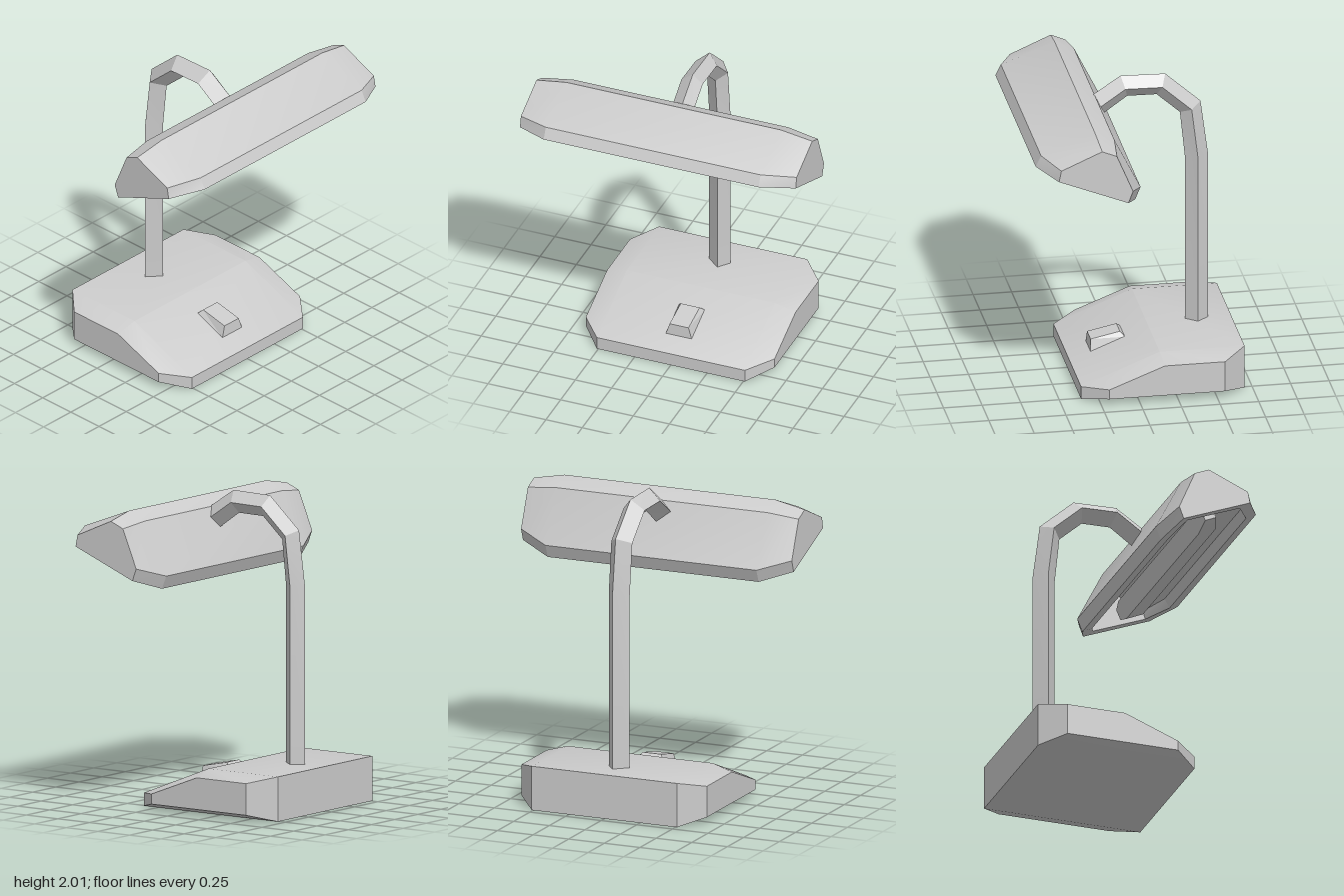
import * as THREE from 'three';
import { toCreasedNormals } from 'three/addons/utils/BufferGeometryUtils.js';

const material = new THREE.MeshStandardMaterial({ color: 0xcccccc });

// Skins a row of rings; each ring is a list of Vector3
function loft(name, rings, { closed = true, caps = true, crease = 0.4 } = {}) {
  const pos = [];
  const tri = (...pts) => pts.forEach((p) => pos.push(p.x, p.y, p.z));
  const n = rings[0].length;
  for (let i = 0; i < rings.length - 1; i++) {
    for (let j = 0; j < (closed ? n : n - 1); j++) {
      const k = (j + 1) % n;
      const a = rings[i][j], b = rings[i][k], c = rings[i + 1][k], d = rings[i + 1][j];
      tri(a, d, c);
      tri(a, c, b);
    }
  }
  if (caps) {
    const first = rings[0], last = rings[rings.length - 1];
    for (let j = 1; j < n - 1; j++) {
      tri(first[0], first[j], first[j + 1]);
      tri(last[0], last[j + 1], last[j]);
    }
  }
  const geometry = new THREE.BufferGeometry();
  geometry.setAttribute('position', new THREE.Float32BufferAttribute(pos, 3));
  const mesh = new THREE.Mesh(toCreasedNormals(geometry, crease), material);
  mesh.name = name;
  return mesh;
}

// Mirrored sections across x: a smaller end profile and a full middle profile, as [z, y]
function sections(endX, end, midX, mid) {
  const ring = (x, profile) => profile.map(([z, y]) => new THREE.Vector3(x, y, z));
  return [ring(-endX, end), ring(-midX, mid), ring(midX, mid), ring(endX, end)];
}

// Outline of the open underside of a set of sections
function openingRing(rings) {
  const front = rings.map((r) => r[0]);
  const back = rings.map((r) => r[r.length - 1]).reverse();
  return [...front, ...back];
}

function createBase() {
  return loft('base', sections(
    0.65, [[0.2, 0.045], [0.2, 0.11], [-0.16, 0.25], [-0.55, 0.25], [-0.55, 0.045]],
    0.51, [[0.36, 0], [0.36, 0.085], [-0.15, 0.29], [-0.7, 0.29], [-0.7, 0]],
  ));
}

function createSwitch() {
  // Tapered button sitting on the sloping face
  const foot = [[-0.09, 0.225], [0.09, 0.225], [0.09, 0], [-0.09, 0]]
    .map(([x, z]) => new THREE.Vector3(x, 0.225 - z * 0.4, z));
  const top = [[-0.065, 0.22, 0.215], [0.065, 0.22, 0.215], [0.065, 0.03, 0.255], [-0.065, 0.03, 0.255]]
    .map(([x, z, y]) => new THREE.Vector3(x, y, z));
  return loft('switch', [foot, top].map((r) => r.reverse()), { crease: 0.1 });
}

function createArm() {
  // Four-sided tube swept along a bent path in the z-y plane
  const path = [[-0.475, 0.25], [-0.475, 1.43], [-0.435, 1.765], [-0.245, 1.935], [-0.005, 1.94], [0.17, 1.82]]
    .map(([z, y]) => new THREE.Vector3(0, y, z));
  const section = [[0.072, 0], [0.012, 0.075], [-0.075, 0], [0.012, -0.075]];
  const xAxis = new THREE.Vector3(1, 0, 0);
  const direction = (i) => path[i + 1].clone().sub(path[i]).normalize();
  const rings = path.map((p, i) => {
    const tangent = direction(Math.max(i - 1, 0))
      .add(direction(Math.min(i, path.length - 2))).normalize();
    const normal = xAxis.clone().cross(tangent);
    return section.map(([u, v]) => p.clone().addScaledVector(xAxis, u).addScaledVector(normal, v));
  });
  return loft('arm', rings, { crease: 0.1 });
}

function createShade() {
  const shade = new THREE.Group();
  shade.name = 'shade';
  const outer = sections(
    0.95, [[0.58, 1.715], [0.565, 1.79], [0.3, 1.905], [0.205, 1.865], [0.1, 1.615], [0.13, 1.535]],
    0.74, [[0.695, 1.742], [0.66, 1.815], [0.31, 1.945], [0.185, 1.89], [0.015, 1.55], [0.05, 1.465]],
  );
  const inner = sections(
    0.89, [[0.53, 1.695], [0.515, 1.75], [0.3, 1.85], [0.23, 1.82], [0.14, 1.61], [0.175, 1.555]],
    0.72, [[0.635, 1.716], [0.6, 1.775], [0.31, 1.89], [0.22, 1.85], [0.07, 1.545], [0.11, 1.491]],
  );
  shade.add(
    loft('shadeOutside', outer, { closed: false }),
    loft('shadeInside', [...inner].reverse(), { closed: false }),
    loft('shadeRim', [openingRing(outer), openingRing(inner)], { caps: false }),
  );
  return shade;
}

function createBulb() {
  // Long tilted bar with tapered ends
  const box = (w, low, high) => [[w, low], [w, high], [-w, high], [-w, low]];
  const bulb = loft('bulb', sections(0.8, box(0.04, 0.04, 0.11), 0.68, box(0.063, 0, 0.13)));
  bulb.position.set(0, 1.598, 0.383);
  bulb.rotation.x = -0.42;
  return bulb;
}

export function createModel() {
  const lamp = new THREE.Group();
  lamp.name = 'deskLamp';
  lamp.add(createBase(), createSwitch(), createArm(), createShade(), createBulb());
  return lamp;
}
